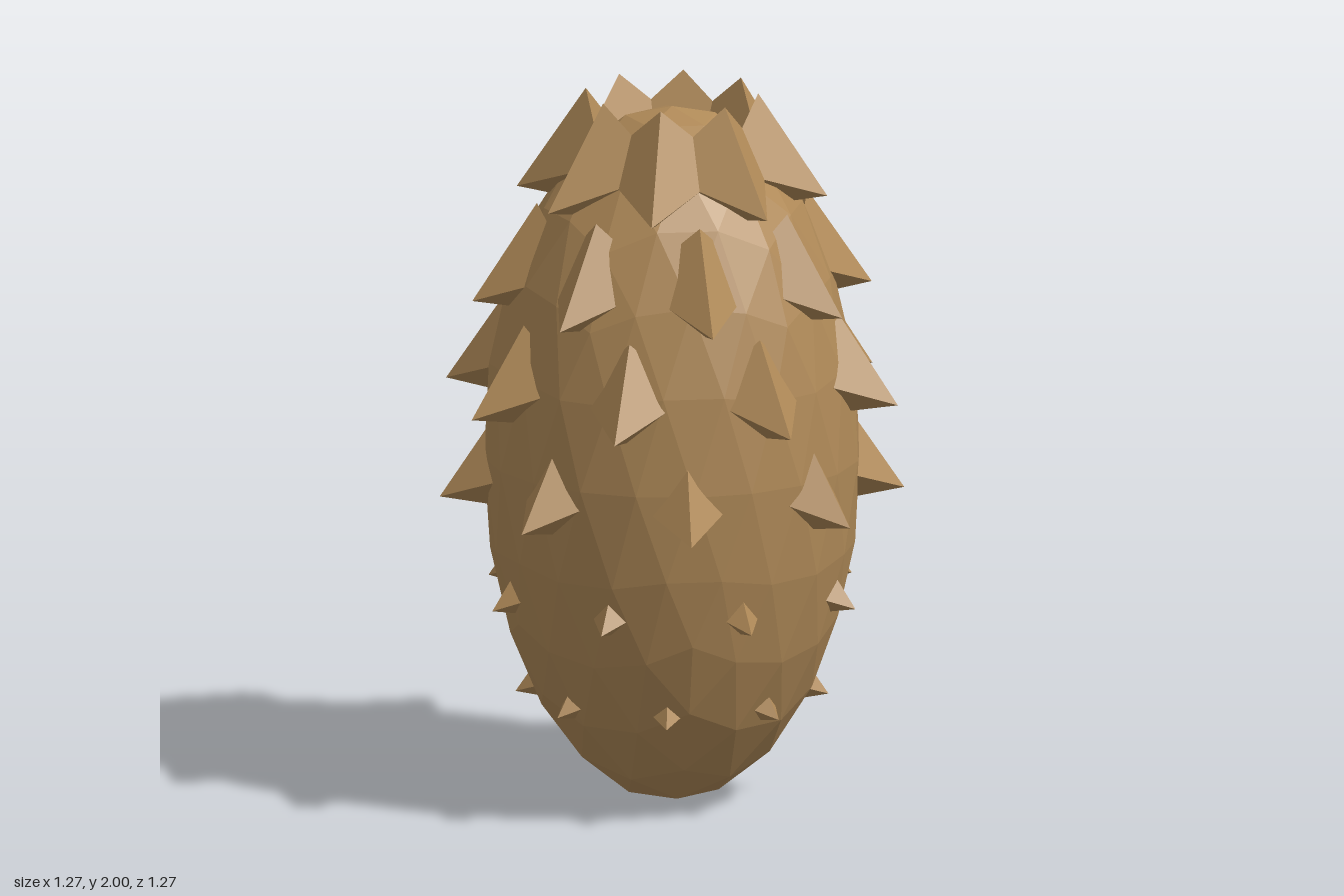
import * as THREE from 'three';

const material = new THREE.MeshStandardMaterial({ color: 0xb08a58, flatShading: true });

// Four-sided spike with its tip at the origin, pointing along +z and drooping
function spikeGeometry(length) {
  const geometry = new THREE.ConeGeometry(length * 0.65, length, 4);
  geometry.translate(0, -length / 2, 0);
  geometry.rotateX(THREE.MathUtils.degToRad(90 + 23));
  return geometry;
}

export function createModel() {
  const model = new THREE.Group();
  model.name = 'spikyCone';

  // Egg-shaped faceted core with a vertex at each pole
  const core = new THREE.IcosahedronGeometry(1, 3);
  core.rotateX(-Math.atan((1 + Math.sqrt(5)) / 2));
  core.rotateY(Math.PI / 2);
  core.scale(0.52, 0.98, 0.52);
  core.translate(0, 0.98, 0);
  const body = new THREE.Mesh(core, material);
  body.name = 'body';
  model.add(body);

  // Rows of scales, each turned a little further: [tip radius, spike length]
  const rows = [[0.43, 0.1], [0.54, 0.16], [0.64, 0.21], [0.64, 0.25], [0.56, 0.272], [0.43, 0.287]];
  const perRow = 8;
  rows.forEach(([radius, length], row) => {
    const ring = new THREE.Group();
    ring.name = `scaleRow${row + 1}`;
    const geometry = spikeGeometry(length).translate(0, 0, radius);
    for (let i = 0; i < perRow; i++) {
      const scale = new THREE.Mesh(geometry, material);
      scale.name = 'scale';
      scale.rotation.y = (i / perRow) * Math.PI * 2 - row / 3;
      ring.add(scale);
    }
    ring.position.y = 0.3 + row * 0.284;
    model.add(ring);
  });

  return model;
}
